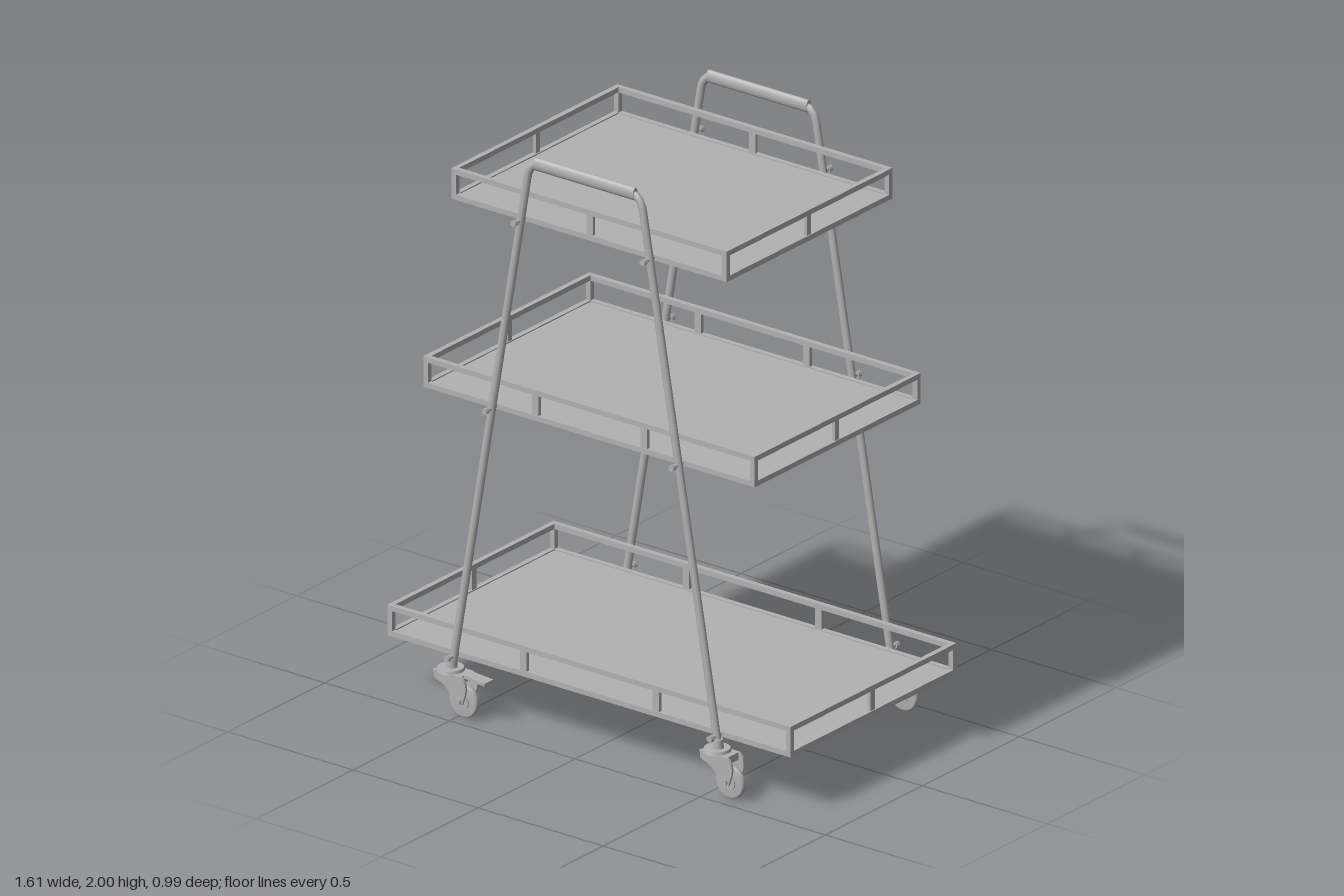
import * as THREE from 'three';

const metal = new THREE.MeshStandardMaterial({ color: 0xb2b2b2 });
metal.name = 'grey metal';

function add(parent, name, geometry, x = 0, y = 0, z = 0) {
  const mesh = new THREE.Mesh(geometry, metal);
  mesh.name = name;
  mesh.position.set(x, y, z);
  parent.add(mesh);
  return mesh;
}
const box = (w, h, d) => new THREE.BoxGeometry(w, h, d);
const rod = (r, length, sides = 16) => new THREE.CylinderGeometry(r, r, length, sides).rotateX(Math.PI / 2);

// Tray: floor panel, two rail rings, corner posts and dividers
function tray(name, halfWidth, y, dividers) {
  const g = new THREE.Group();
  g.name = name;
  g.position.y = y;
  const D = 0.428, T = 0.018, H = 0.105;
  add(g, 'floor', box(2 * (halfWidth - T), 0.01, 2 * (D - T)), 0, 0.009, 0);
  for (const s of [-1, 1]) {
    for (const ry of [T / 2, H - T / 2]) {
      add(g, 'longRail', box(2 * halfWidth, T, T), 0, ry, s * (D - T / 2));
      add(g, 'endRail', box(T, T, 2 * (D - T)), s * (halfWidth - T / 2), ry, 0);
    }
    for (const e of [-1, 1])
      add(g, 'cornerPost', box(T, H - 2 * T, T), s * (halfWidth - T / 2), H / 2, e * (D - T / 2));
    for (const x of dividers)
      add(g, 'longDivider', box(0.026, H - 2 * T, 0.012), x, H / 2, s * (D - T / 2));
    add(g, 'endDivider', box(0.012, H - 2 * T, 0.022), s * (halfWidth - T / 2), H / 2, 0);
  }
  return g;
}

// Bent tube that forms two legs and the handle bar
function legFrame() {
  const v = (x, y) => new THREE.Vector3(x, y, 0);
  const path = new THREE.CurvePath();
  path.add(new THREE.LineCurve3(v(-0.533, 0.155), v(-0.231, 1.925)));
  path.add(new THREE.QuadraticBezierCurve3(v(-0.231, 1.925), v(-0.222, 1.978), v(-0.18, 1.978)));
  path.add(new THREE.LineCurve3(v(-0.18, 1.978), v(0.18, 1.978)));
  path.add(new THREE.QuadraticBezierCurve3(v(0.18, 1.978), v(0.222, 1.978), v(0.231, 1.925)));
  path.add(new THREE.LineCurve3(v(0.231, 1.925), v(0.533, 0.155)));
  const g = new THREE.Group();
  g.name = 'legFrame';
  add(g, 'bentTube', new THREE.TubeGeometry(path, 200, 0.014, 12)).scale.z = 0.8;
  const grip = new THREE.CylinderGeometry(0.022, 0.022, 0.4, 20).rotateZ(Math.PI / 2).scale(1, 1, 0.53);
  add(g, 'grip', grip, 0, 1.978, 0);
  return g;
}

// Swivel caster with its stem at x = 0 and its wheel trailing toward +x
function caster(braked) {
  const g = new THREE.Group();
  g.name = braked ? 'brakedCaster' : 'caster';
  const tyre = [[0, -0.012], [0.05, -0.012], [0.055, -0.007], [0.057, 0], [0.055, 0.007], [0.05, 0.012], [0, 0.012]];
  const wheel = new THREE.LatheGeometry(tyre.map(p => new THREE.Vector2(...p)), 28).rotateX(Math.PI / 2);
  add(g, 'wheel', wheel, 0.05, 0.062, 0);
  add(g, 'axle', rod(0.012, 0.082), 0.05, 0.07, 0);
  add(g, 'hub', rod(0.026, 0.032), 0.05, 0.062, 0);

  // Fork cheeks
  const cheek = new THREE.Shape();
  cheek.moveTo(-0.052, 0.155);
  cheek.lineTo(0.06, 0.155);
  cheek.quadraticCurveTo(0.085, 0.14, 0.078, 0.1);
  cheek.lineTo(0.066, 0.062);
  cheek.quadraticCurveTo(0.05, 0.045, 0.034, 0.06);
  cheek.quadraticCurveTo(0.01, 0.115, -0.04, 0.125);
  cheek.closePath();
  for (const z of [-0.034, 0.026])
    add(g, 'forkCheek', new THREE.ExtrudeGeometry(cheek, { depth: 0.008, bevelEnabled: false }), 0, 0, z);
  add(g, 'forkCrown', box(0.11, 0.026, 0.06), 0.004, 0.142, 0);
  add(g, 'swivelPlate', new THREE.CylinderGeometry(0.042, 0.046, 0.014, 24), -0.005, 0.158, 0);
  add(g, 'stem', new THREE.CylinderGeometry(0.015, 0.018, 0.035, 16), 0, 0.178, 0);
  if (braked) {
    add(g, 'brakePedal', box(0.085, 0.01, 0.045), 0.105, 0.15, 0).rotation.z = -0.08;
    add(g, 'brakeArm', box(0.045, 0.01, 0.03), 0.095, 0.133, 0).rotation.z = 0.5;
  }
  return g;
}

export function createModel() {
  const model = new THREE.Group();
  model.name = 'trayTrolley';
  model.add(
    tray('bottomTray', 0.805, 0.195, [-0.265, 0.265]),
    tray('middleTray', 0.662, 1.085, [-0.217, 0.217]),
    tray('topTray', 0.55, 1.76, [0]));

  for (const side of [-1, 1]) {
    const z = side * 0.447;
    const frame = legFrame();
    frame.position.z = z;
    model.add(frame);
    for (const s of [-1, 1]) {
      // Bolts fixing each tray to the leg
      for (const y of [0.204, 1.094, 1.769]) {
        const x = s * (0.533 - (y - 0.155) * 0.1706);
        add(model, 'boltShank', rod(0.006, 0.062, 10), x, y, side * 0.45);
        add(model, 'boltHead', rod(0.011, 0.016, 6), x, y, side * 0.479);
      }
      const c = caster(s < 0);
      c.position.set(s * 0.532, 0, z);
      model.add(c);
    }
  }
  return model;
}
